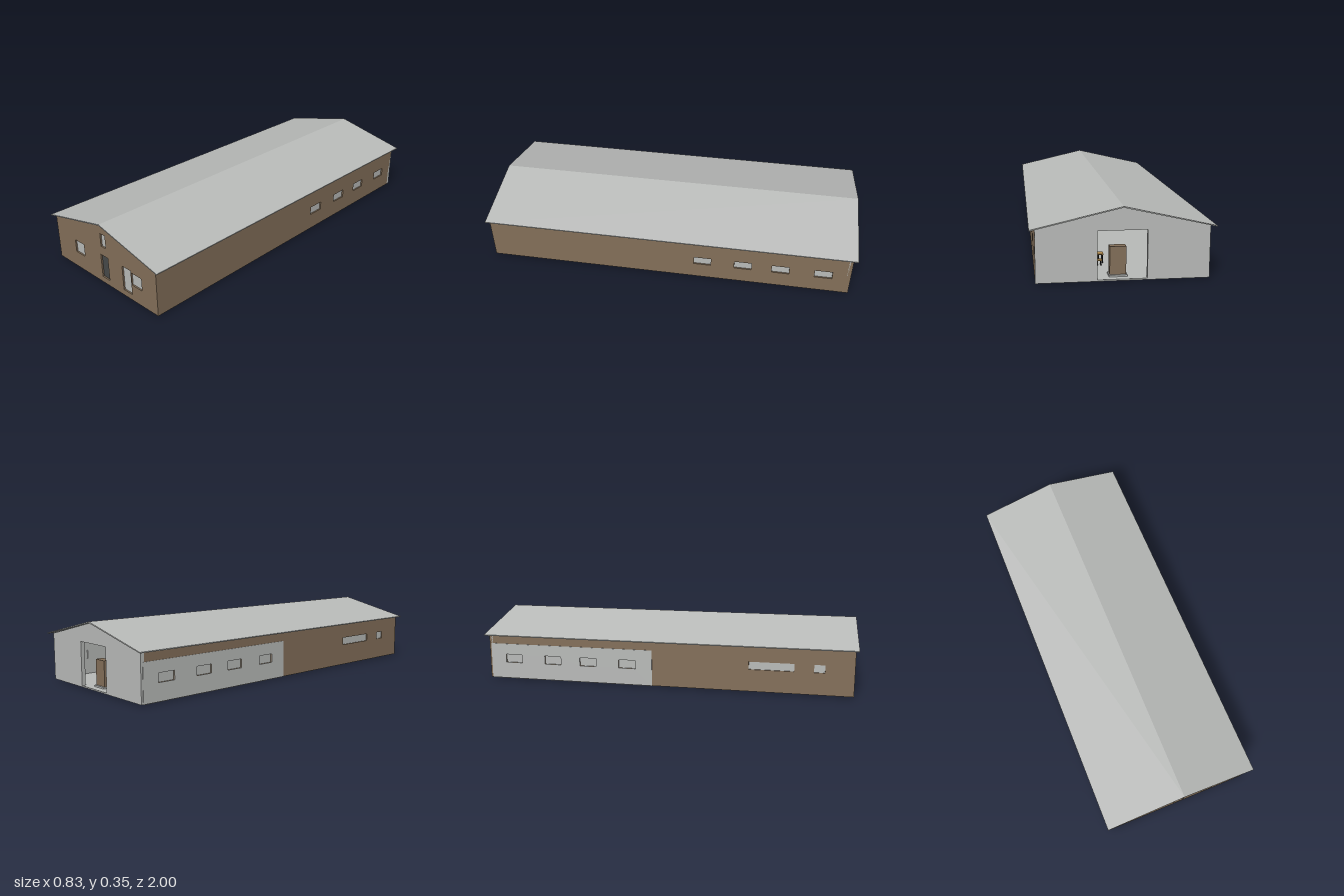
import * as THREE from 'three';

const mat = (name, color, side = THREE.FrontSide) => {
  const m = new THREE.MeshStandardMaterial({ color, side });
  m.name = name;
  return m;
};

export function createModel() {
  const group = new THREE.Group();
  const timber = mat('timber brown', 0x836f59);
  const grey = mat('sheet grey', 0xb9bbb9);
  const dark = mat('door grey', 0x474949);
  const wood = mat('pale wood', 0xb08a4e);
  const black = mat('black', 0x242424);

  const add = (name, geometry, material, parent = group) => {
    const mesh = new THREE.Mesh(geometry, material);
    mesh.name = name;
    parent.add(mesh);
    return mesh;
  };
  // box given by its limits on each axis
  const box = (name, material, x0, x1, y0, y1, z0, z1, parent = group) => {
    const m = add(name, new THREE.BoxGeometry(x1 - x0, y1 - y0, z1 - z0), material, parent);
    m.position.set((x0 + x1) / 2, (y0 + y1) / 2, (z0 + z1) / 2);
    return m;
  };
  // upright wall with rectangular holes [u0, u1, v0, v1]
  const slab = (points, holes, depth) => {
    const shape = new THREE.Shape(points.map(([u, v]) => new THREE.Vector2(u, v)));
    for (const [a, b, c, d] of holes) {
      shape.holes.push(new THREE.Path([[a, c], [a, d], [b, d], [b, c]].map(([u, v]) => new THREE.Vector2(u, v))));
    }
    return new THREE.ExtrudeGeometry(shape, { depth, bevelEnabled: false });
  };
  const rect = (a, b, c, d) => [[a, c], [b, c], [b, d], [a, d]];

  const L = -0.393, R = 0.391, B = -0.98, F = 0.985, base = 0.005, ridge = 0.003;
  const gable = [[L, base], [R, base], [R, 0.249], [ridge, 0.34], [L, 0.249]];

  // roof: two thin pitches meeting at the ridge
  add('roof', slab([[-0.418, 0.244], [ridge, 0.34], [0.416, 0.246],
    [0.416, 0.251], [ridge, 0.346], [-0.418, 0.249]], [], 2), grey).position.z = -1;

  // front gable with its windows and doors
  const door = [-0.025, 0.031, 0.037, 0.165];
  const frontPanes = [
    [-0.239, -0.166, 0.093, 0.162],
    [-0.015, 0.022, 0.214, 0.285],
    [0.142, 0.205, 0.037, 0.169],
    [0.208, 0.283, 0.093, 0.16],
  ];
  add('frontWall', slab(gable, [door, ...frontPanes], 0.02), timber).position.z = F - 0.02;
  frontPanes.forEach(([a, b, c, d]) => box('frontPane', grey, a, b, c, d, F - 0.014, F - 0.008));
  box('frontDoor', dark, door[0], door[1], door[2], door[3], F - 0.014, F - 0.008);

  // rear gable with the large open doorway
  add('backWall', slab(gable, [[-0.109, 0.116, 0.012, 0.235]], 0.02), grey).position.z = B;

  // side walls, drawn along z and turned into place
  const rear = [[-0.885, -0.793], [-0.66, -0.568], [-0.46, -0.368], [-0.242, -0.15]]
    .map(([a, b]) => [a, b, 0.094, 0.139]);
  const leftExtra = [[0.452, 0.684, 0.122, 0.163], [0.783, 0.838, 0.122, 0.163]];
  const sideWall = (name, x, u0, u1, v1, holes, depth, material) => {
    const m = add(name, slab(rect(u0, u1, base, v1), holes, depth), material);
    m.rotation.y = -Math.PI / 2;
    m.position.x = x;
  };
  const z0 = B + 0.02, z1 = F - 0.02;
  sideWall('eastWall', R, B + 0.0005, F - 0.0005, 0.249, rear, 0.012, timber);
  sideWall('eastLining', R - 0.012, z0, z1, 0.249, rear, 0.008, grey);
  sideWall('westWall', L + 0.012, B + 0.0005, F - 0.0005, 0.249, [...rear, ...leftExtra], 0.012, timber);
  sideWall('westLining', L + 0.02, z0, z1, 0.249, [...rear, ...leftExtra], 0.008, grey);
  sideWall('westCladding', L, -0.97, -0.06, 0.198, rear, 0.002, grey);
  rear.forEach(([a, b, c, d]) => box('eastPane', grey, R - 0.014, R - 0.008, c, d, a, b));
  [...rear, ...leftExtra].forEach(([a, b, c, d]) => box('westPane', grey, L + 0.006, L + 0.012, c, d, a, b));

  // floor slabs: low one at the rear, two raised ones at the front
  box('rearFloor', grey, -0.383, 0.367, 0, 0.012, -0.96, -0.056);
  box('middleFloor', grey, -0.383, 0.367, 0.007, 0.035, -0.052, 0.418);
  box('frontFloor', grey, -0.383, 0.367, 0.007, 0.035, 0.422, 0.935);

  // inner cross walls
  const inner = [[L + 0.02, 0.012], [R - 0.02, 0.012], [R - 0.02, 0.25], [ridge, 0.338], [L + 0.02, 0.25]];
  for (const z of [-0.07, 0.41]) add('crossWall', slab(inner, [], 0.015), grey).position.z = z;

  // counter standing behind the doorway
  box('counterPlinth', grey, -0.025, 0.06, 0.012, 0.02, -0.945, -0.885);
  box('counter', timber, -0.02, 0.055, 0.02, 0.15, -0.935, -0.895);

  // tables with stools further in
  const legged = (name, x, z, w, h, top) => {
    const g = new THREE.Group();
    g.name = name;
    g.position.set(x, 0.012, z);
    box('top', top, -w / 2, w / 2, h - 0.005, h, -w / 2, w / 2, g);
    for (const sx of [-1, 1]) for (const sz of [-1, 1]) {
      const cx = sx * (w / 2 - 0.004), cz = sz * (w / 2 - 0.004);
      box('leg', black, cx - 0.002, cx + 0.002, 0, h - 0.005, cz - 0.002, cz + 0.002, g);
    }
    group.add(g);
  };
  for (const x of [0.08, 0.2]) {
    legged('table', x, -0.7, 0.05, 0.045, wood);
    for (const s of [-1, 1]) legged('stool', x, -0.7 + s * 0.05, 0.025, 0.028, wood);
  }
  return group;
}
